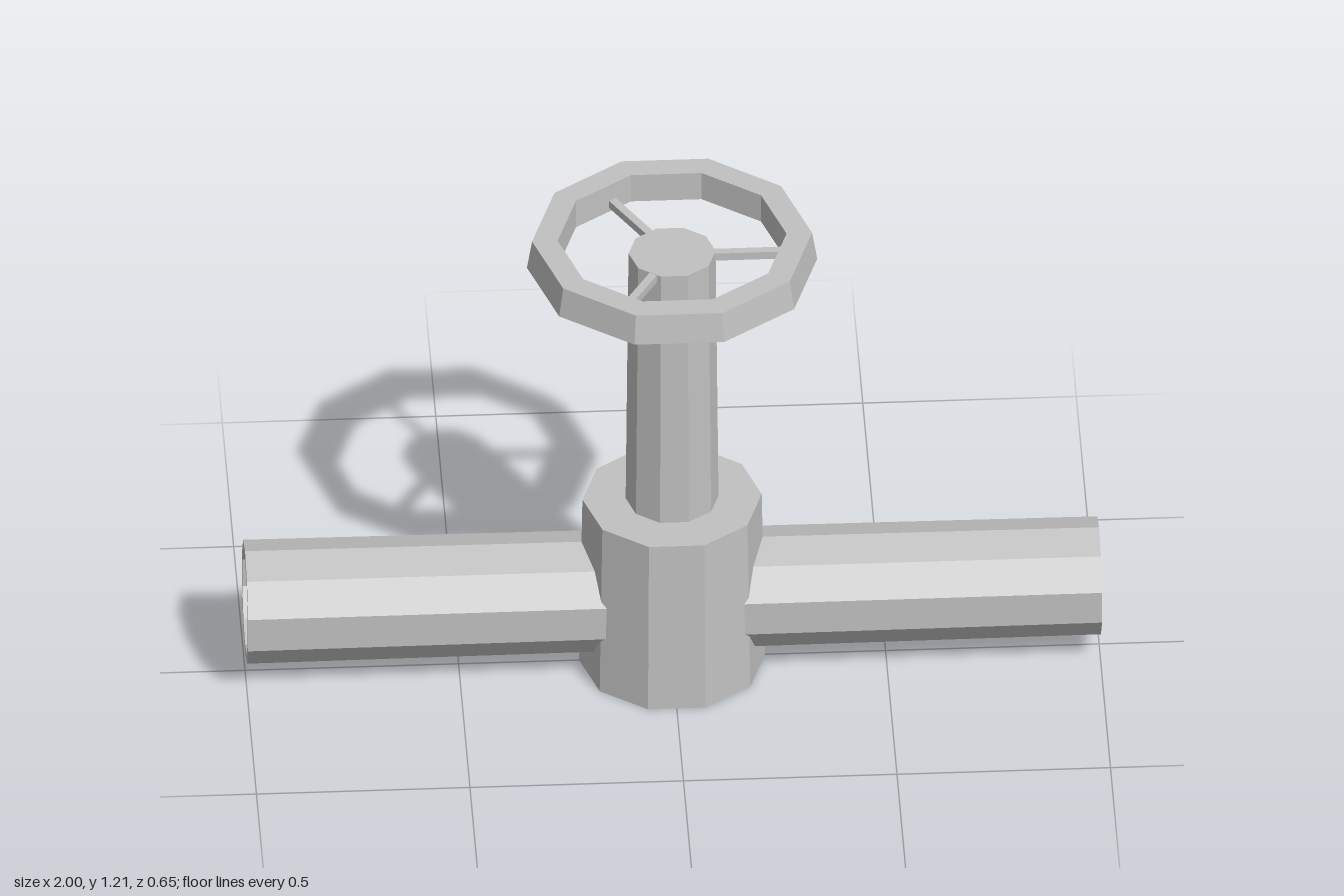
import * as THREE from 'three';

const SIDES = 10;

export function createModel() {
  const steel = new THREE.MeshStandardMaterial({ color: 0xc0c0c0 });
  steel.name = 'grey steel';
  const model = new THREE.Group();
  model.name = 'valve';

  // Adds a mesh with one flat normal per face
  const add = (name, geometry, parent = model) => {
    const flat = geometry.index ? geometry.toNonIndexed() : geometry;
    flat.computeVertexNormals();
    const mesh = new THREE.Mesh(flat, steel);
    mesh.name = name;
    parent.add(mesh);
    return mesh;
  };

  // Ten-sided turned part with corners on the x axis
  const turned = (profile) => new THREE.LatheGeometry(
    profile.map(([r, y]) => new THREE.Vector2(r, y)), SIDES, Math.PI / 2);

  const taperedPost = (rTop, rBottom, y0, y1) =>
    new THREE.CylinderGeometry(rTop, rBottom, y1 - y0, SIDES, 1, false, Math.PI / 2)
      .translate(0, (y0 + y1) / 2, 0);

  // Valve body and stem
  add('body', taperedPost(0.21, 0.218, 0, 0.46));
  add('stem', taperedPost(0.102, 0.109, 0.44, 1.162));

  // Hollow, slightly tapered pipe running through the body
  const pipe = add('pipe', turned([
    [0.145, -1], [0.138, 1], [0.117, 1], [0.123, -1], [0.145, -1],
  ]));
  pipe.rotation.z = -Math.PI / 2;
  pipe.position.y = 0.197;

  // Handwheel: bevelled rim and three spokes
  const handwheel = new THREE.Group();
  handwheel.name = 'handwheel';
  model.add(handwheel);
  add('rim', turned([
    [0.268, 1.13], [0.34, 1.13], [0.328, 1.205], [0.268, 1.205], [0.268, 1.13],
  ]), handwheel);
  for (let i = 0; i < 3; i++) {
    const spoke = add('spoke', new THREE.BoxGeometry(0.265, 0.02, 0.02).translate(0.1325, 0, 0), handwheel);
    spoke.position.y = 1.151;
    spoke.rotation.y = (i * Math.PI * 2) / 3;
  }

  return model;
}
